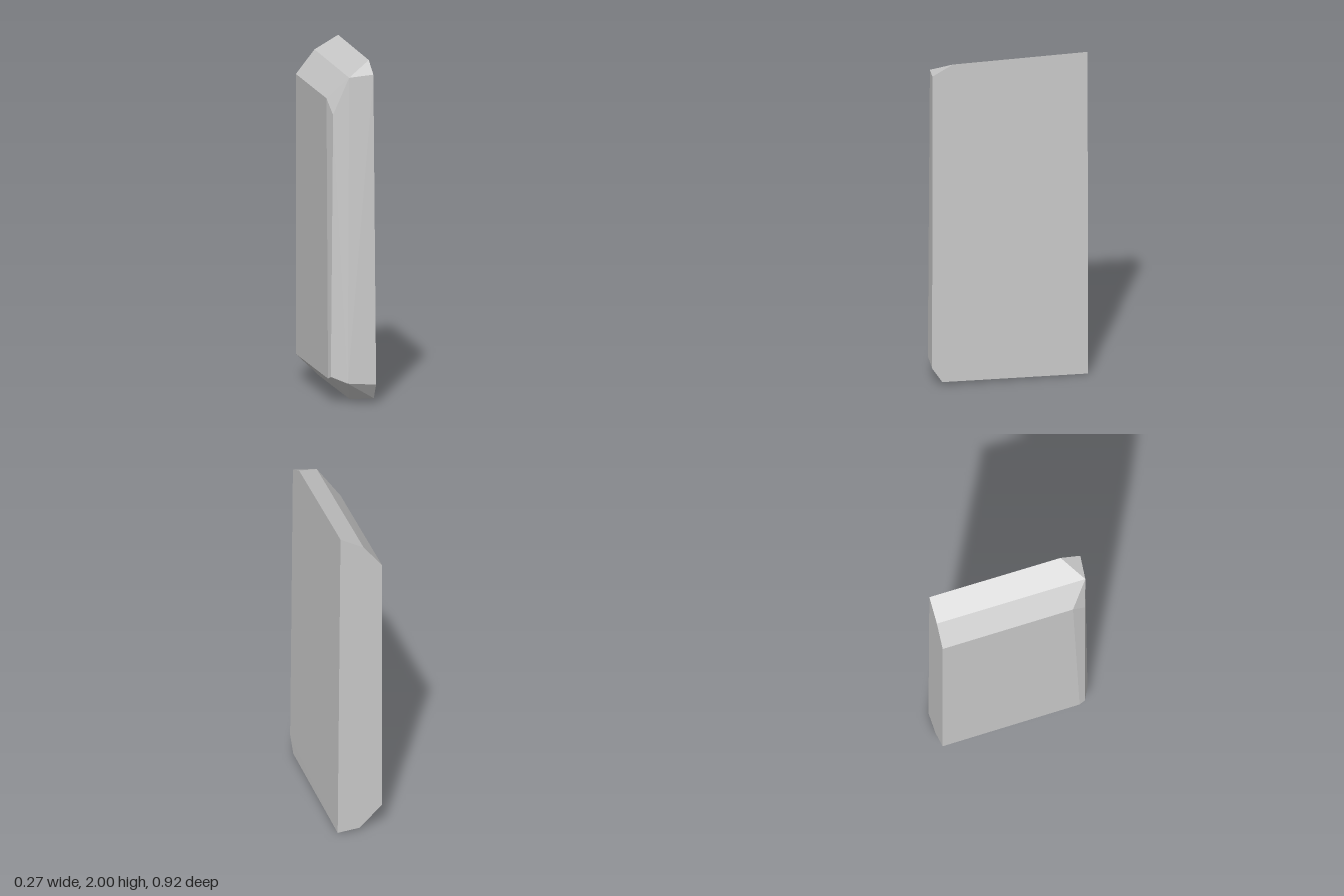
import * as THREE from 'three';
import { ConvexGeometry } from 'three/addons/geometries/ConvexGeometry.js';

export function createModel() {
  const group = new THREE.Group();
  group.name = 'chamferedSlab';

  // Flat back end: [x, y] outline in the plane z = -0.46
  const back = [
    [0.115, 2.0], [-0.025, 1.92], [-0.135, 1.78],
    [-0.135, 0.14], [0.0, 0.01], [0.132, 0.0],
  ].map(([x, y]) => new THREE.Vector3(x, y, -0.46));

  // Where the long edges stop at the front bevels
  const shoulder = [
    [0.115, 1.99, 0.335], [-0.134, 1.775, 0.33],
    [-0.134, 0.14, 0.37], [0.0, 0.01, 0.35], [0.13, 0.02, 0.40],
  ].map((p) => new THREE.Vector3(...p));

  // Outline of the worn front face
  const front = [
    [0.115, 1.925, 0.455], [-0.025, 1.91, 0.44], [-0.113, 1.69, 0.41],
    [-0.125, 0.155, 0.405], [-0.035, 0.12, 0.45], [0.13, 0.11, 0.46],
  ].map((p) => new THREE.Vector3(...p));

  const slab = new THREE.Mesh(
    new ConvexGeometry([...back, ...shoulder, ...front]),
    new THREE.MeshStandardMaterial({ color: 0xcccccc, flatShading: true }),
  );
  slab.name = 'slab';
  group.add(slab);
  return group;
}
